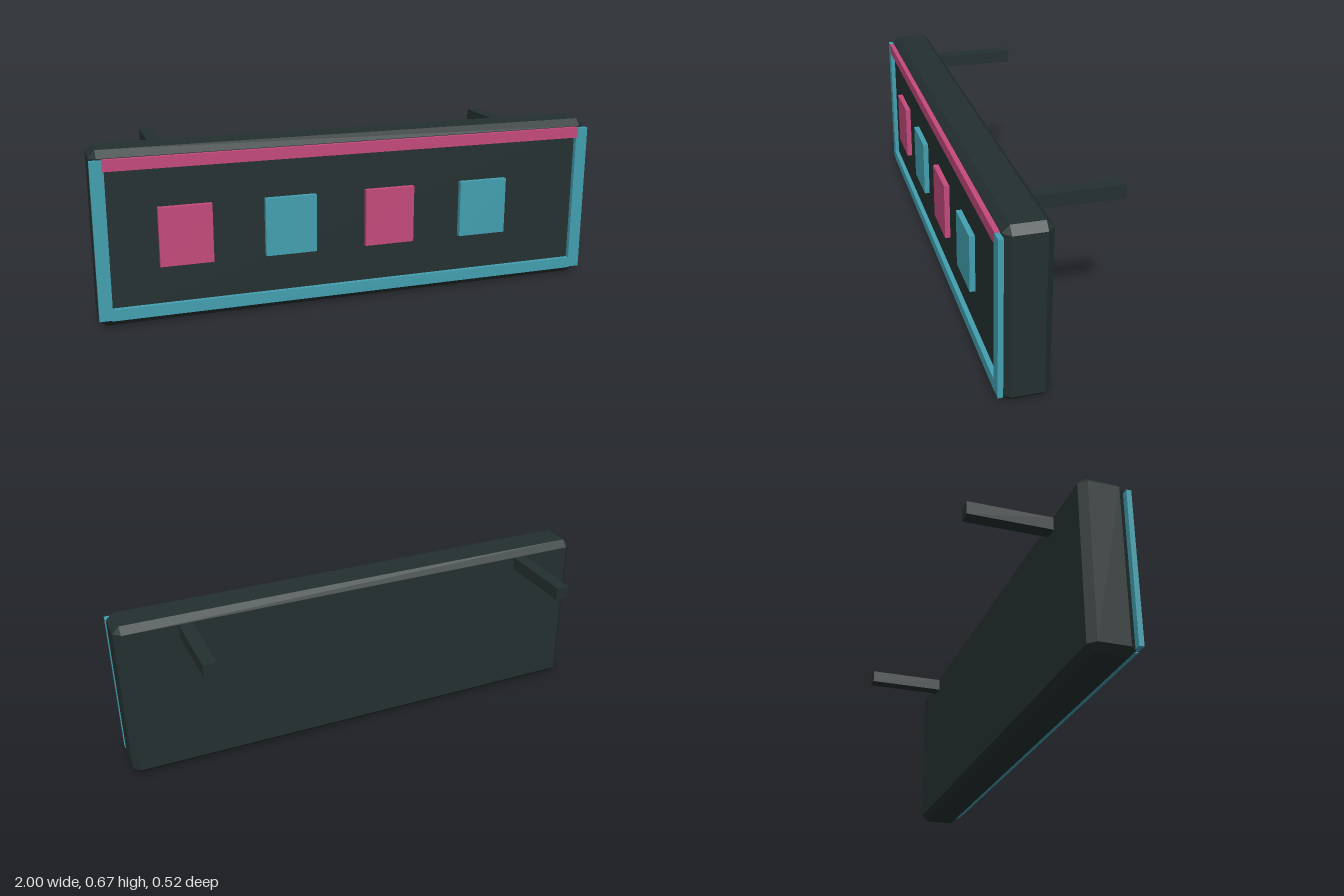
import * as THREE from 'three';
import { ConvexGeometry } from 'three/addons/geometries/ConvexGeometry.js';

const material = (name, color) => {
  const m = new THREE.MeshStandardMaterial({ color });
  m.name = name;
  return m;
};

// Box with every edge and corner cut flat
function chamferedBox(w, h, d, c) {
  const points = [];
  for (const sx of [-1, 1]) for (const sy of [-1, 1]) for (const sz of [-1, 1]) {
    const x = w / 2, y = h / 2, z = d / 2;
    points.push(
      new THREE.Vector3(sx * x, sy * (y - c), sz * (z - c)),
      new THREE.Vector3(sx * (x - c), sy * y, sz * (z - c)),
      new THREE.Vector3(sx * (x - c), sy * (y - c), sz * z),
    );
  }
  return new ConvexGeometry(points);
}

export function createModel() {
  const group = new THREE.Group();
  group.name = 'wallSign';
  const dark = material('darkSlate', 0x243030);
  const cyan = material('cyan', 0x43a0b0);
  const pink = material('pink', 0xc44a7c);

  // Box given by its limits on each axis
  function block(name, mat, [x0, x1], [y0, y1], [z0, z1]) {
    const mesh = new THREE.Mesh(new THREE.BoxGeometry(x1 - x0, y1 - y0, z1 - z0), mat);
    mesh.position.set((x0 + x1) / 2, (y0 + y1) / 2, (z0 + z1) / 2);
    mesh.name = name;
    group.add(mesh);
  }

  // Sign body
  const body = new THREE.Mesh(chamferedBox(2, 0.667, 0.172, 0.027), dark);
  body.name = 'signBody';
  body.position.set(0, 0.3335, 0.154);
  group.add(body);

  // Light strips around the face
  block('topStrip', pink, [-0.956, 0.956], [0.595, 0.638], [0.239, 0.2585]);
  block('bottomStrip', cyan, [-0.956, 0.956], [0.031, 0.075], [0.239, 0.2585]);
  block('rightStrip', cyan, [-1, -0.95], [0.034, 0.635], [0.239, 0.258]);
  block('leftStrip', cyan, [0.95, 1], [0.034, 0.635], [0.239, 0.258]);

  // Four panels in alternating colours
  for (let i = 0; i < 4; i++) {
    const x = -0.669 + i * 0.401;
    block('facePanel', i % 2 ? cyan : pink, [x - 0.1, x + 0.1], [0.222, 0.448], [0.239, 0.261]);
  }

  // Wall brackets at the back
  for (const x of [-0.734, 0.732]) {
    block('wallBracket', dark, [x - 0.026, x + 0.026], [0.588, 0.64], [-0.26, 0.08]);
  }
  return group;
}
